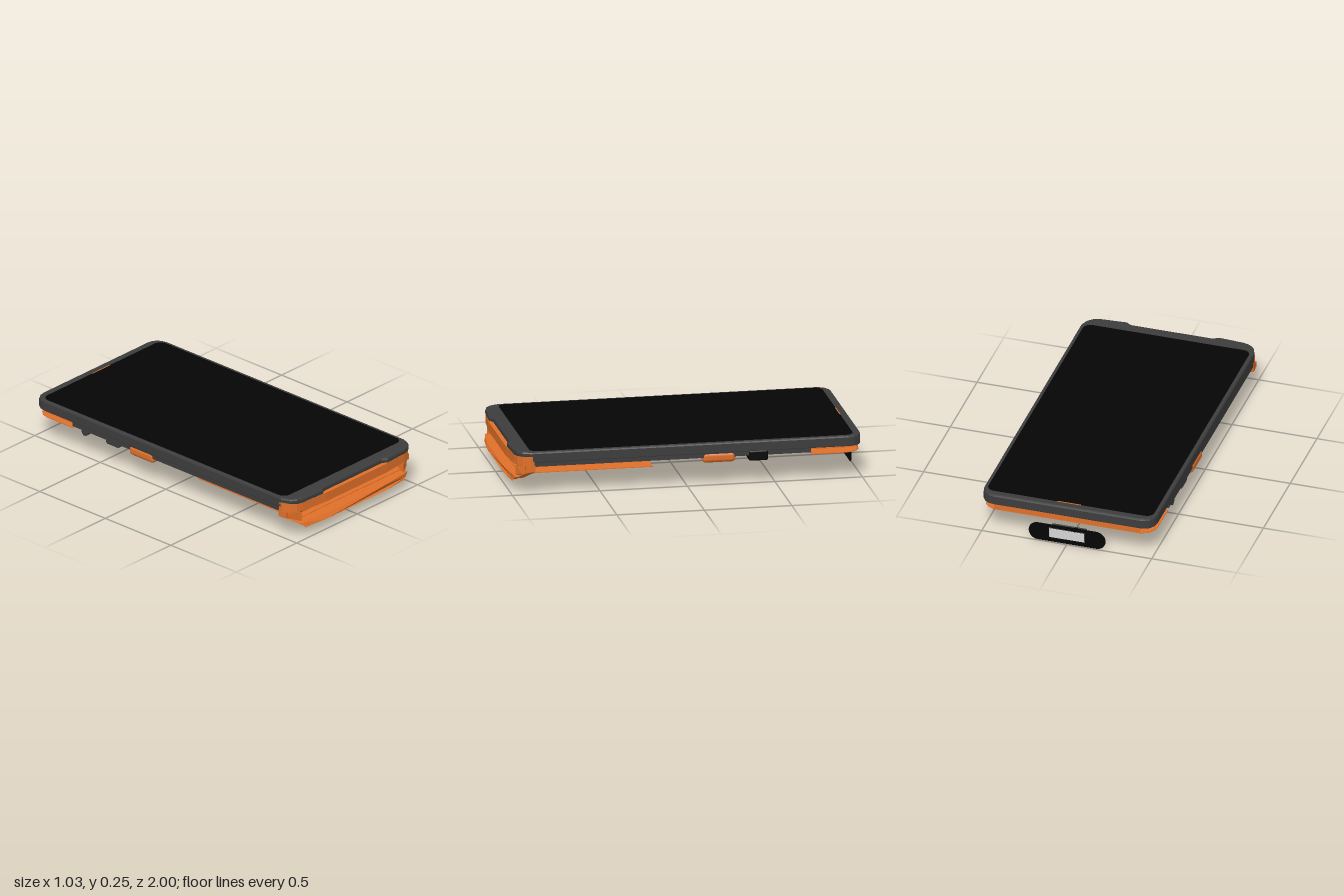
import * as THREE from 'three';
import { RoundedBoxGeometry } from 'three/addons/geometries/RoundedBoxGeometry.js';

const material = (name, color) => {
  const m = new THREE.MeshStandardMaterial({ color, side: THREE.DoubleSide });
  m.name = name;
  return m;
};

// Rounded rectangle; used both in plan (x, -z) and in elevation (x, y)
function roundRect(x0, y0, x1, y1, r, Type = THREE.Shape) {
  const s = new Type();
  s.moveTo(x0 + r, y0);
  s.lineTo(x1 - r, y0);
  s.absarc(x1 - r, y0 + r, r, -Math.PI / 2, 0);
  s.lineTo(x1, y1 - r);
  s.absarc(x1 - r, y1 - r, r, 0, Math.PI / 2);
  s.lineTo(x0 + r, y1);
  s.absarc(x0 + r, y1 - r, r, Math.PI / 2, Math.PI);
  s.lineTo(x0, y0 + r);
  s.absarc(x0 + r, y0 + r, r, Math.PI, Math.PI * 1.5);
  return s;
}

// Extrude a plan shape upward from y0 to y1, with an optional inward bevel
function slab(shape, y0, y1, bevel = 0) {
  const g = new THREE.ExtrudeGeometry(shape, {
    depth: y1 - y0 - 2 * bevel, curveSegments: 8, bevelEnabled: bevel > 0,
    bevelThickness: bevel, bevelSize: bevel, bevelOffset: -bevel, bevelSegments: 2,
  });
  return g.rotateX(-Math.PI / 2).translate(0, y0 + bevel, 0);
}

// Mirror a right-hand list of points to make a closed symmetric shape
function mirrored(points) {
  const all = [...points, ...points.slice().reverse().map(([x, y]) => [-x, y])];
  return new THREE.Shape(all.map(([x, y]) => new THREE.Vector2(x, y)));
}

export function createModel() {
  const model = new THREE.Group();
  model.name = 'handheldTerminal';
  const orange = material('orange', 0xe07029);
  const charcoal = material('charcoal', 0x3d3d3d);
  const black = material('black', 0x050505);
  const silver = material('silver', 0xd4d4d4);
  const add = (name, geometry, mat, x = 0, y = 0, z = 0) => {
    const mesh = new THREE.Mesh(geometry, mat);
    mesh.name = name;
    mesh.position.set(x, y, z);
    model.add(mesh);
    return mesh;
  };
  const box = (name, w, h, d, mat, x, y, z) =>
    add(name, new THREE.BoxGeometry(w, h, d), mat, x, y, z);

  // Bezel with rounded back corners and a shallow notch at the front
  const backCorner = [
    [0.51, 0.92], [0.503, 0.953], [0.485, 0.98], [0.46, 0.995], [0.43, 1],
  ];
  const bezel = mirrored([
    [0.24, -0.968], [0.27, -0.988], [0.42, -0.978], [0.46, -0.966], [0.49, -0.94],
    [0.51, -0.89], ...backCorner,
  ]);
  bezel.holes.push(roundRect(-0.47, -0.88, 0.47, 0.94, 0.04, THREE.Path));
  add('bezel', slab(bezel, 0.212, 0.247, 0.01), charcoal);

  // Side walls below the bezel, deeper ahead of the back shell
  const wall = mirrored([[0.51, -0.885], ...backCorner]);
  wall.holes.push(roundRect(-0.475, -0.86, 0.475, 0.945, 0.05, THREE.Path));
  add('upperWall', slab(wall, 0.186, 0.236, 0.004), charcoal);
  for (const s of [-1, 1]) box('lowerWall', 0.03, 0.03, 1.59, charcoal, s * 0.493, 0.177, 0.09);

  // Screen, speaker slit and inner panels
  add('screen', slab(roundRect(-0.488, -0.895, 0.488, 0.955, 0.045), 0.238, 0.248), black);
  box('speakerSlit', 0.14, 0.004, 0.006, orange, 0, 0.2465, -0.955);
  add('innerTray', slab(roundRect(-0.48, -0.89, 0.48, 0.95, 0.04), 0.21, 0.216), black);
  box('innerPanel', 0.88, 0.006, 1.36, silver, 0.025, 0.203, -0.02);

  // Upper collar of the front cap, wrapped round both front corners
  const collar = mirrored([
    [0.25, -0.992], [0.42, -0.976], [0.46, -0.964], [0.49, -0.938], [0.51, -0.9],
    [0.51, -0.875], [0.475, -0.875], [0.47, -0.92], [0.42, -0.955],
  ]);
  add('capCollar', slab(collar, 0.165, 0.22), orange);

  // Lower frame of the front cap: an open slot, swept back towards the corners
  const capFrame = (points, z0, z1) => {
    const g = new THREE.ExtrudeGeometry(mirrored(points), { depth: z1 - z0, bevelEnabled: false });
    g.translate(0, 0, z0);
    const p = g.attributes.position;
    for (let i = 0; i < p.count; i++) {
      const x = Math.abs(p.getX(i));
      const slope = 0.1 * Math.max(0, x - 0.25);
      const corner = Math.max(0, x - 0.4) / 0.11;
      p.setZ(i, p.getZ(i) - slope - 0.05 * corner * corner);
    }
    g.computeVertexNormals();
    return g;
  };
  const slotPosts = [
    [0.38, 0.061], [0.43, 0.08], [0.48, 0.112], [0.51, 0.13], [0.51, 0.17], [0.45, 0.17],
    [0.42, 0.15], [0.42, 0.097],
  ];
  add('capFrame', capFrame([[0.25, 0.085], [0.38, 0.085], ...slotPosts.slice(1), [0.25, 0.097]],
    0.945, 0.985), orange);
  add('capLip', capFrame([
    [0.25, 0.061], [0.38, 0.061], [0.42, 0.073], [0.45, 0.092], [0.42, 0.097], [0.25, 0.097],
  ], 0.978, 1.0), orange);
  const ceiling = box('slotCeiling', 0.88, 0.006, 0.076, orange, 0, 0.142, 0.935);
  ceiling.rotation.x = -0.776;
  for (const s of [-1, 1]) box('capEar', 0.03, 0.036, 0.05, orange, s * 0.494, 0.15, 0.9);

  // Thin lower cover, with a ramp joining it to the front lip
  box('lowerCover', 0.87, 0.004, 0.76, orange, 0, 0.107, 0.565);
  const ramp = box('coverRamp', 0.82, 0.004, 0.07, orange, 0, 0.08, 0.957);
  ramp.rotation.x = 0.56;

  // Cross band whose ends form the two side buttons
  add('crossBand', new RoundedBoxGeometry(1.026, 0.06, 0.19, 3, 0.022), orange, 0, 0.16, -0.18);

  // Side keys and the small round stud
  add('sideKey', new RoundedBoxGeometry(0.33, 0.06, 0.11, 2, 0.01), black, 0.348, 0.16, -0.405);
  add('smallKey', new RoundedBoxGeometry(0.07, 0.05, 0.1, 2, 0.012), charcoal, -0.472, 0.16, -0.405);
  add('stud', new THREE.CylinderGeometry(0.023, 0.023, 0.06, 20).rotateZ(Math.PI / 2),
    charcoal, -0.475, 0.153, -0.615);

  // Back shell: two thin layers joined by a back edge
  const back = mirrored([
    [0.505, 0.71], [0.505, 0.9], [0.495, 0.94], [0.47, 0.972], [0.43, 0.99],
  ]);
  add('backShellUpper', slab(back, 0.179, 0.184), orange);
  add('backShellLower', slab(back, 0.148, 0.152), orange);
  box('backShellEdge', 0.86, 0.034, 0.004, orange, 0, 0.166, -0.987);

  // Scanner surround, scanner blocks and window
  const surround = roundRect(-0.226, 0, 0.226, 0.112, 0.055);
  surround.holes.push(roundRect(-0.106, 0.028, 0.106, 0.09, 0.002, THREE.Path));
  add('scannerSurround', new THREE.ShapeGeometry(surround, 10), black, 0, 0, -0.992);
  box('scannerBlock', 0.052, 0.055, 0.055, charcoal, -0.076, 0.06, -0.968);
  box('scannerBlock', 0.136, 0.055, 0.055, charcoal, 0.033, 0.06, -0.968);
  box('scannerDivider', 0.016, 0.055, 0.05, black, -0.043, 0.06, -0.968);
  box('scannerWindow', 0.203, 0.055, 0.004, silver, 0, 0.06, -0.998);

  return model;
}
